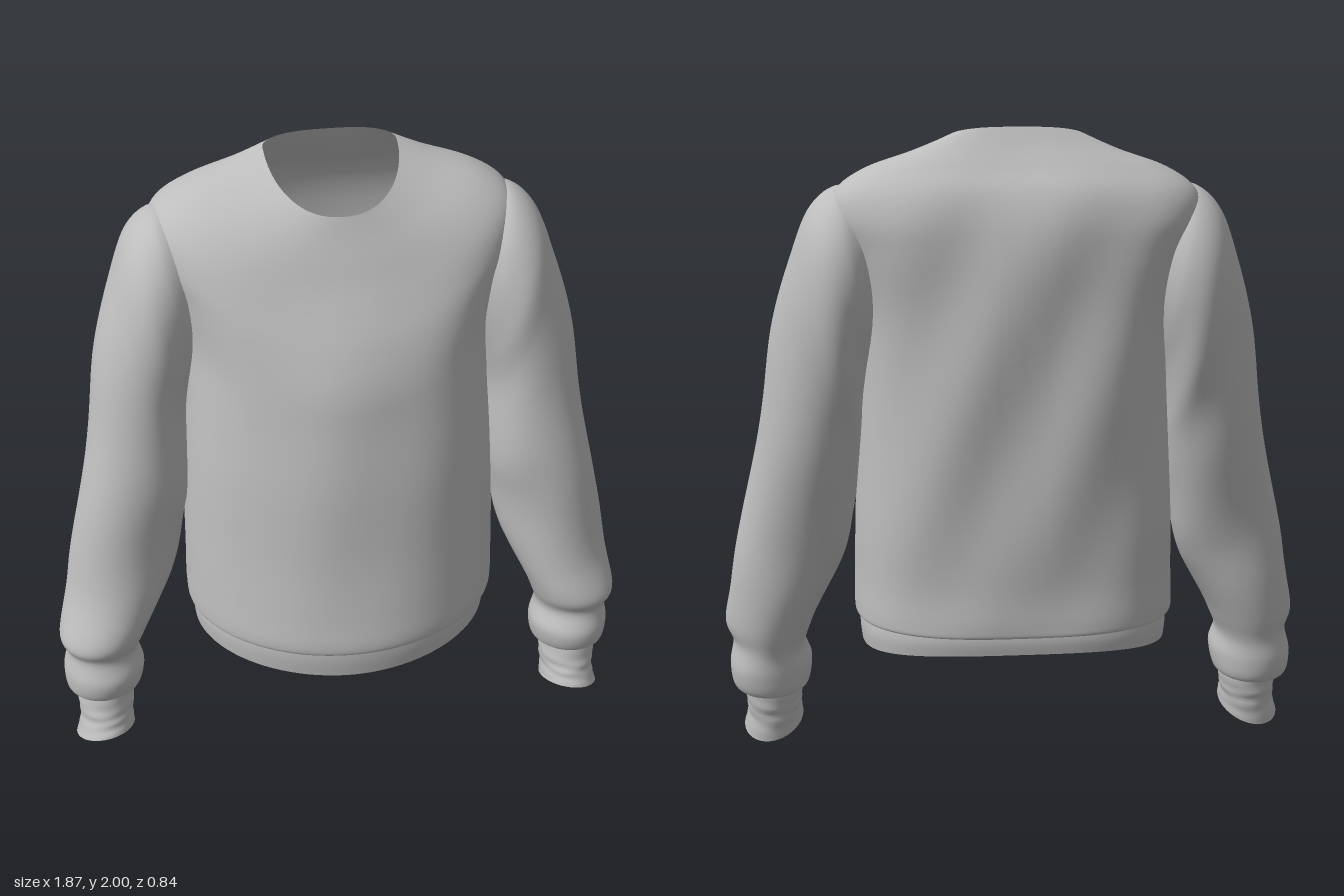
import * as THREE from 'three';

const fabric = new THREE.MeshStandardMaterial({ color: 0xbdbdbd, side: THREE.DoubleSide });
fabric.name = 'grey fabric';

// Smooth interpolation through rows of numbers, u from 0 to 1
function sample(rows, u) {
  const n = rows.length - 1;
  const i = Math.min(Math.floor(u * n), n - 1), t = u * n - i;
  const [a, b, c, d] = [i - 1, i, i + 1, i + 2].map(k => rows[THREE.MathUtils.clamp(k, 0, n)]);
  return b.map((_, k) => 0.5 * (2 * b[k] + (c[k] - a[k]) * t
    + (2 * a[k] - 5 * b[k] + 4 * c[k] - d[k]) * t * t
    + (3 * b[k] - a[k] - 3 * c[k] + d[k]) * t * t * t));
}

// Open tube made of closed rings; point(u, angle) returns [x, y, z].
// Faces starting at a point inside hole(x, y, z) are left out.
function loft(name, point, steps, segs, { flip = false, hole = () => false } = {}) {
  const pos = [], index = [];
  for (let i = 0; i <= steps; i++)
    for (let j = 0; j < segs; j++) pos.push(...point(i / steps, j / segs * Math.PI * 2));
  for (let i = 0; i < steps; i++)
    for (let j = 0; j < segs; j++) {
      const k = (j + 1) % segs;
      const a = i * segs + j, b = i * segs + k, c = a + segs, d = b + segs;
      if (hole(...pos.slice(a * 3, a * 3 + 3))) continue;
      if (flip) index.push(a, b, c, b, d, c);
      else index.push(a, c, b, b, c, d);
    }
  const g = new THREE.BufferGeometry();
  g.setAttribute('position', new THREE.Float32BufferAttribute(pos, 3));
  g.setIndex(index);
  g.computeVertexNormals();
  const mesh = new THREE.Mesh(g, fabric);
  mesh.name = name;
  return mesh;
}

// Body ring: half width, side z, front y, front z, side y, back y, back z
const bodyRows = [
  [.485, 0, .495, .37, .495, .485, -.36],
  [.505, 0, .487, .41, .485, .475, -.395],
  [.508, 0, .52, .418, .52, .51, -.40],
  [.505, 0, .62, .40, .62, .62, -.395],
  [.50, -.01, .8, .37, .8, .8, -.40],
  [.485, -.02, 1.05, .34, 1.05, 1.05, -.405],
  [.47, -.05, 1.25, .305, 1.28, 1.3, -.41],
  [.47, -.09, 1.38, .28, 1.45, 1.5, -.41],
  [.51, -.12, 1.5, .235, 1.62, 1.64, -.405],
  [.555, -.14, 1.6, .185, 1.73, 1.74, -.39],
  [.54, -.15, 1.67, .15, 1.815, 1.82, -.36],
  [.45, -.16, 1.74, .12, 1.88, 1.885, -.31],
  [.31, -.17, 1.81, .09, 1.93, 1.945, -.265],
  [.20, -.18, 1.86, .07, 1.975, 2.0, -.23],
];
const hemRows = [
  [.487, 0, .365, .37, .385, .41, -.36],
  [.492, 0, .43, .375, .44, .45, -.365],
  [.485, 0, .50, .37, .50, .49, -.36],
];

function bodyPoint(rows, folds) {
  return (u, a) => {
    const [w, zs, yf, zf, ys, yb, zb] = sample(rows, u);
    const c = Math.cos(a), s = Math.sin(a), front = s > 0;
    // The back is squarer than the front; the neckline dips as a rounded scoop
    const p = front ? 1.03 - 0.15 * u * folds : 0.7;
    const dip = Math.abs(s) ** (2 - 0.8 * THREE.MathUtils.smoothstep(u, 0.75, 1));
    const x = w * Math.sign(c) * Math.abs(c) ** p;
    const y = ys + ((front ? yf : yb) - ys) * dip;
    let z = zs + ((front ? zf : zb) - zs) * Math.abs(s) ** p;
    // Slanting drape folds, strongest across the back
    const fade = folds * s * s * Math.sin(Math.PI * u) ** 2;
    z += fade * (front ? 0.004 * Math.sin(x * 16 - y * 3) : 0.012 * Math.sin(x * 15 + y * 7));
    return [x, y, z];
  };
}

// Opening in the body where each sleeve is set in
const armhole = (x, y, z) =>
  Math.abs(x) > 0.4 && ((y - 1.57) / 0.19) ** 2 + ((z + 0.13) / 0.15) ** 2 < 1;

// Sleeve ring: outer x, y, inner x, y, front z, back z, lift of the front edge.
// The first ring is tucked inside the shoulder as a seam.
const sleeveRows = [
  [.46, 1.805, .42, 1.38, .035, -.295, 0],
  [.54, 1.825, .437, 1.33, .08, -.34, 0],
  [.625, 1.755, .455, 1.26, .108, -.352, 0],
  [.685, 1.6, .47, 1.16, .11, -.33, 0],
  [.74, 1.4, .475, 1.04, .125, -.28, 0],
  [.78, 1.18, .485, .90, .14, -.235, 0],
  [.825, .96, .51, .78, .15, -.19, 0],
  [.865, .75, .545, .65, .165, -.155, 0],
  [.90, .57, .595, .52, .185, -.13, 0],
  [.93, .42, .645, .41, .215, -.10, .01],
  [.905, .35, .675, .34, .205, -.085, .02],
  [.92, .27, .655, .27, .225, -.08, .02],
  [.91, .20, .665, .20, .21, -.06, .02],
  [.87, .19, .70, .20, .18, -.01, .02],
];
const cuffRows = [
  [.87, .22, .695, .22, .20, -.02, .02],
  [.875, .15, .69, .15, .215, -.01, .02],
  [.87, .09, .695, .10, .23, .005, .025],
  [.885, .025, .69, .055, .25, .015, .04],
];

function sleevePoint(rows, side, folds) {
  return (u, a) => {
    const [ox, oy, ix, iy, zf, zb, lift] = sample(rows, u);
    // Wrinkles wind around the sleeve and deepen toward the wrist
    const wave = Math.sin(a * 2 + u * 26) * 0.6 + Math.sin(a * 3 - u * 17) * 0.4;
    const k = 1 + folds * wave * Math.sin(Math.PI * u) * (0.4 + u);
    const c = Math.cos(a) * k, s = Math.sin(a) * k;
    const y = (oy + iy) / 2 + (oy - iy) / 2 * c + lift * s;
    // The right wrist hangs slightly farther out
    const sway = side < 0 ? 0.06 * Math.max(0, 0.6 - y) : 0;
    return [
      side * ((ox + ix) / 2 + (ox - ix) / 2 * c + sway),
      y,
      (zf + zb) / 2 + (zf - zb) / 2 * s,
    ];
  };
}

export function createModel() {
  const shirt = new THREE.Group();
  shirt.name = 'sweatshirt';
  shirt.add(loft('body', bodyPoint(bodyRows, 1), 78, 96, { hole: armhole }));
  shirt.add(loft('hemBand', bodyPoint(hemRows, 0), 8, 96));
  for (const [label, side] of [['left', 1], ['right', -1]]) {
    // Rings run downward here, so the winding is the reverse of the body's
    const flip = side > 0;
    shirt.add(loft(label + 'Sleeve', sleevePoint(sleeveRows, side, 0.05), 104, 56, { flip }));
    shirt.add(loft(label + 'Cuff', sleevePoint(cuffRows, side, 0.03), 16, 56, { flip }));
  }
  return shirt;
}
